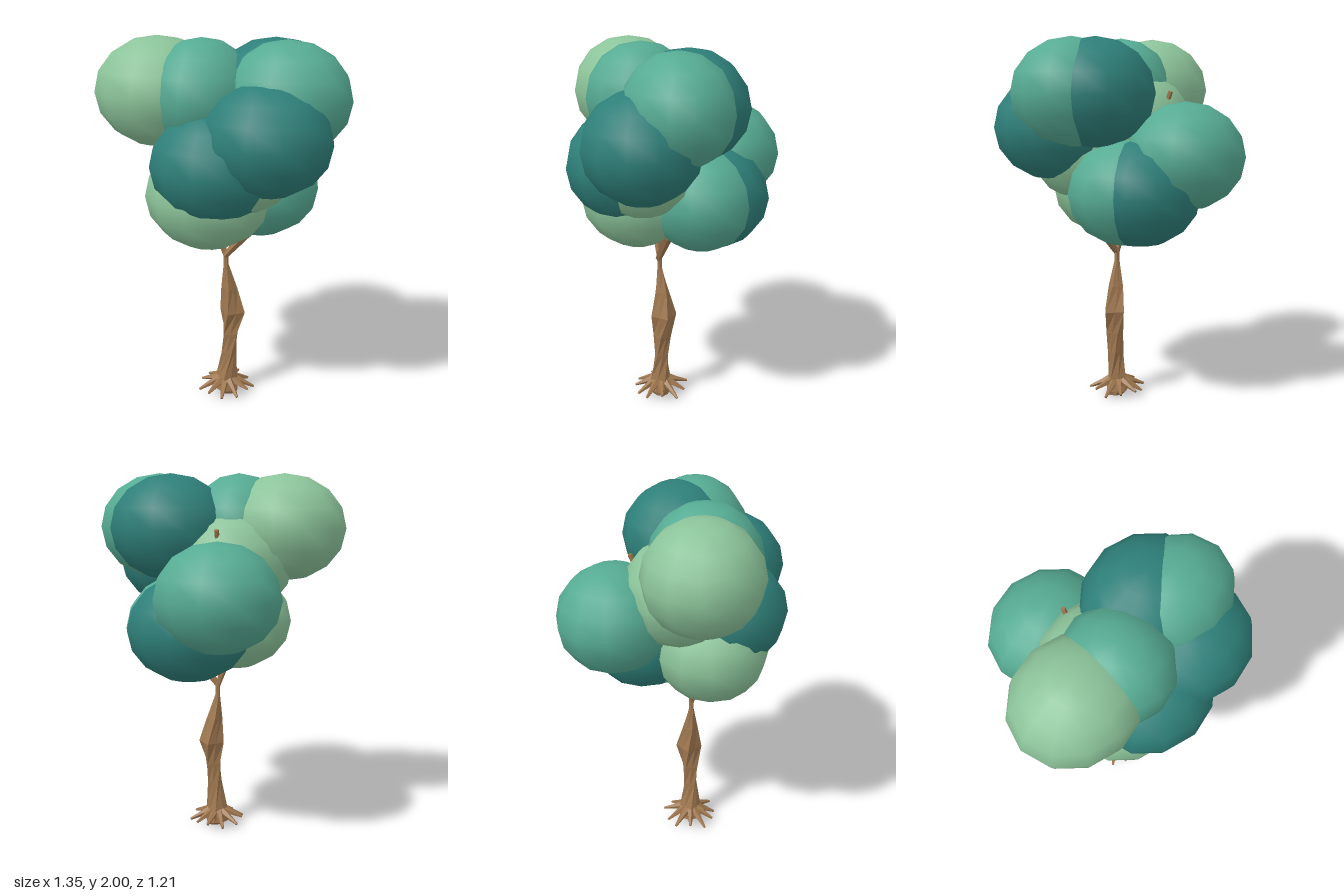
import * as THREE from 'three';

const BARK = new THREE.MeshStandardMaterial({ color: 0xa07850, flatShading: true });
const LIGHT = new THREE.MeshStandardMaterial({ color: 0x8cc49a });
const MID = new THREE.MeshStandardMaterial({ color: 0x56ab93 });
const DARK = new THREE.MeshStandardMaterial({ color: 0x2e7f79 });

function add(parent, name, geometry, material) {
  const mesh = new THREE.Mesh(geometry, material);
  mesh.name = name;
  parent.add(mesh);
  return mesh;
}

// Straight tapered limb between two points
function limb(parent, name, from, to, r0, r1, sides = 5) {
  const a = new THREE.Vector3(...from), b = new THREE.Vector3(...to);
  const dir = b.clone().sub(a);
  const mesh = add(parent, name, new THREE.CylinderGeometry(r1, r0, dir.length(), sides), BARK);
  mesh.position.copy(a).add(b).multiplyScalar(0.5);
  mesh.quaternion.setFromUnitVectors(new THREE.Vector3(0, 1, 0), dir.normalize());
}

// Trunk: fluted, twisting rings that swell in the middle and pinch at the fork
function trunkGeometry() {
  // y, centre x, centre z, radius, twist, fluting
  const rings = [
    [0.0, 0.03, 0.1, 0.045, 0, 0.05],
    [0.02, 0.015, 0.1, 0.066, 0, 0.1],
    [0.1, 0.015, 0.1, 0.06, 0.15, 0.15],
    [0.25, 0.028, 0.098, 0.044, 0.7, 0.18],
    [0.37, 0.036, 0.095, 0.05, 1.1, 0.2],
    [0.5, 0.045, 0.087, 0.073, 1.571, 0.3],
    [0.64, 0.028, 0.093, 0.044, 1.9, 0.25],
    [0.78, 0.012, 0.1, 0.014, 2.3, 0.1],
    [0.85, 0.012, 0.1, 0.015, 2.5, 0.1],
  ];
  const n = rings.length - 1;
  const g = new THREE.CylinderGeometry(1, 1, 1, 8, n);
  const p = g.attributes.position;
  for (let i = 0; i < p.count; i++) {
    const [y, cx, cz, r, twist, flute] = rings[Math.round((p.getY(i) + 0.5) * n)];
    const angle = Math.atan2(p.getX(i), p.getZ(i));
    const side = Math.round(angle / (Math.PI / 4));
    const rad = Math.hypot(p.getX(i), p.getZ(i)) * r * (side % 2 ? 1 - flute : 1);
    p.setXYZ(i, cx + rad * Math.sin(angle + twist), y, cz + rad * Math.cos(angle + twist));
  }
  g.computeVertexNormals();
  return g;
}

export function createModel() {
  const tree = new THREE.Group();
  tree.name = 'tree';

  add(tree, 'trunk', trunkGeometry(), BARK);

  // Splayed roots around the base
  const roots = new THREE.Group();
  roots.name = 'roots';
  tree.add(roots);
  for (let i = 0; i < 11; i++) {
    const a = (i / 11) * Math.PI * 2 + 0.2;
    const s = Math.sin(a), c = Math.cos(a);
    const reach = 0.145 + 0.013 * (i % 2);
    limb(roots, 'root', [0.012 + s * 0.035, 0.085, 0.1 + c * 0.035],
      [0.012 + s * reach, 0.025 + 0.012 * (i % 3), 0.1 + c * reach], 0.024, 0.007);
  }

  // Branches forking into the crown
  const branches = new THREE.Group();
  branches.name = 'branches';
  tree.add(branches);
  limb(branches, 'rightFork', [0.01, 0.83, 0.105], [0.17, 1.02, 0.1], 0.017, 0.03);
  limb(branches, 'leftFork', [0.014, 0.82, 0.1], [-0.03, 0.96, 0.1], 0.013, 0.024);
  limb(branches, 'leftBranch', [-0.03, 0.96, 0.1], [-0.065, 1.4, -0.08], 0.024, 0.02);
  limb(branches, 'branchTip', [-0.065, 1.4, -0.08], [-0.07, 1.72, -0.215], 0.02, 0.013);

  // Crown of overlapping foliage clumps: material, centre, optional x and z radius
  const crown = new THREE.Group();
  crown.name = 'crown';
  tree.add(crown);
  const clumps = [
    [LIGHT, -0.34, 1.715, 0.16],
    [MID, -0.09, 1.715, 0.165, 0.28, 0.295],
    [MID, 0.34, 1.715, 0.095, 0.335, 0.285],
    [DARK, 0.25, 1.715, 0.015],
    [DARK, 0.3, 1.535, 0.275],
    [DARK, 0.03, 1.385, 0.295],
    [LIGHT, -0.045, 1.2, 0.205],
    [MID, 0.125, 1.2, -0.095],
    [DARK, 0.095, 1.2, -0.165],
    [MID, -0.1, 1.385, -0.3],
    [LIGHT, -0.08, 1.535, 0.045],
    [LIGHT, 0.1, 1.4, 0.22],
  ];
  const ball = new THREE.SphereGeometry(1, 12, 8);
  for (const [material, x, y, z, rx = 0.335, rz = 0.305] of clumps) {
    const clump = add(crown, 'foliageClump', ball, material);
    clump.position.set(x, y, z);
    clump.scale.set(rx, 0.285, rz);
  }
  return tree;
}
